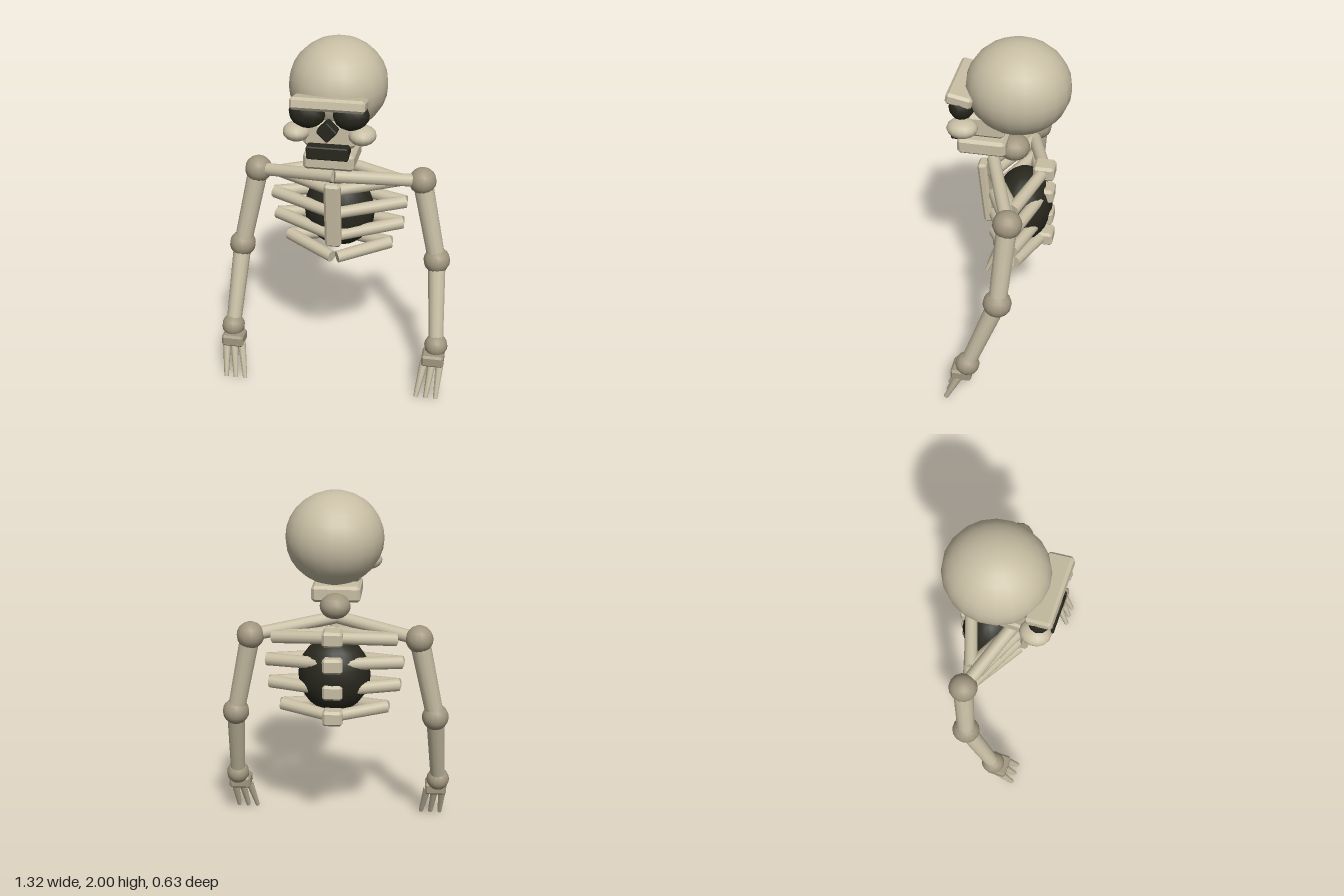
import * as THREE from 'three';
import { ConvexGeometry } from 'three/addons/geometries/ConvexGeometry.js';

const mat = (name, color) => {
  const m = new THREE.MeshStandardMaterial({ color });
  m.name = name;
  return m;
};

export function createModel() {
  const bone = mat('bone', 0xc8bea4);
  const joint = mat('joint bone', 0xa1967f);
  const dark = mat('dark hollow', 0x28281e);
  const root = new THREE.Group();
  root.name = 'skeletonBust';

  const add = (parent, name, geometry, material, p = [0, 0, 0]) => {
    const m = new THREE.Mesh(geometry, material);
    m.name = name;
    m.position.set(...p);
    parent.add(m);
    return m;
  };

  // Ellipsoid
  const ball = (parent, name, material, p, r, ws = 14, hs = 10) =>
    add(parent, name, new THREE.SphereGeometry(1, ws, hs).scale(...r), material, p);

  // Box with flat chamfered edges
  const block = (parent, name, material, p, size, c = 0.014) => {
    const pts = [];
    const [x, y, z] = size.map((s) => s / 2);
    for (const i of [-1, 1]) for (const j of [-1, 1]) for (const k of [-1, 1]) {
      pts.push(new THREE.Vector3(i * x, j * (y - c), k * (z - c)));
      pts.push(new THREE.Vector3(i * (x - c), j * y, k * (z - c)));
      pts.push(new THREE.Vector3(i * (x - c), j * (y - c), k * z));
    }
    return add(parent, name, new ConvexGeometry(pts), material, p);
  };

  // Tapered straight bone from a to b
  const rod = (parent, name, material, a, b, ra, rb, sides = 12) => {
    const A = new THREE.Vector3(...a), B = new THREE.Vector3(...b);
    const d = B.clone().sub(A);
    const m = add(parent, name, new THREE.CylinderGeometry(rb, ra, d.length(), sides), material);
    m.position.copy(A).add(B).multiplyScalar(0.5);
    m.quaternion.setFromUnitVectors(new THREE.Vector3(0, 1, 0), d.normalize());
    return m;
  };

  // Head
  const head = new THREE.Group();
  head.name = 'head';
  root.add(head);
  ball(head, 'cranium', bone, [0, 1.75, -0.038], [0.264, 0.25, 0.276], 20, 14);
  block(head, 'brow', bone, [0, 1.735, 0.238], [0.39, 0.066, 0.14]).rotation.x = -0.2;
  block(head, 'upperJaw', bone, [0, 1.56, 0.13], [0.28, 0.135, 0.23], 0.02);
  block(head, 'lowerJaw', bone, [0, 1.42, 0.14], [0.27, 0.09, 0.26], 0.016);
  block(head, 'mouth', dark, [0, 1.483, 0.255], [0.22, 0.07, 0.1], 0.006);
  block(head, 'noseHollow', dark, [0, 1.603, 0.275], [0.08, 0.08, 0.075], 0.006).rotation.z = Math.PI / 4;
  for (const s of [-1, 1]) {
    ball(head, 'eyeSocket', dark, [s * 0.115, 1.677, 0.235], [0.096, 0.078, 0.07], 12, 8).rotation.z = s * 0.1;
    ball(head, 'cheekbone', bone, [s * 0.172, 1.57, 0.225], [0.073, 0.05, 0.083]);
  }
  ball(root, 'neck', joint, [0, 1.365, -0.016], [0.085, 0.07, 0.085]);

  // Torso core
  ball(root, 'chestHollow', dark, [0, 0.995, -0.07], [0.2, 0.215, 0.16], 16, 12);
  block(root, 'sternum', bone, [0, 1.055, 0.142], [0.09, 0.39, 0.052]).rotation.x = 0.09;

  // Ribs and vertebrae
  const ribReach = [0.335, 0.37, 0.355, 0.29];
  ribReach.forEach((reach, i) => {
    const spineY = 1.237 - 0.15 * i;
    const sideY = 1.2 - 0.13 * i;
    block(root, 'vertebra', bone, [0, spineY, -0.183], [0.11, 0.085, 0.115]);
    for (const s of [-1, 1]) {
      const side = [s * reach, sideY, -0.07];
      rod(root, 'ribFront', bone, side, [s * 0.015, 1.185 - 0.137 * i, 0.095], 0.036, 0.033);
      rod(root, 'ribBack', bone, side, [0, spineY, -0.185], 0.036, 0.033);
    }
  });

  // Arms
  for (const s of [-1, 1]) {
    const arm = new THREE.Group();
    arm.name = s > 0 ? 'leftArm' : 'rightArm';
    root.add(arm);
    const shoulder = [s * 0.462, 1.205, -0.068];
    const elbow = [s * 0.562, 0.74, -0.032];
    const wrist = [s * 0.592, 0.283, 0.135];
    rod(arm, 'collarbone', bone, shoulder, [0, 1.27, 0.1], 0.036, 0.036);
    ball(arm, 'shoulder', joint, shoulder, [0.076, 0.076, 0.078]);
    rod(arm, 'upperArm', bone, shoulder, elbow, 0.056, 0.05);
    ball(arm, 'elbow', joint, elbow, [0.075, 0.075, 0.078]);
    rod(arm, 'forearm', bone, elbow, wrist, 0.051, 0.042);
    ball(arm, 'wrist', joint, wrist, [0.066, 0.066, 0.068]);
    block(arm, 'palm', joint, [s * 0.581, 0.22, 0.167], [0.125, 0.07, 0.115], 0.012);
    for (const f of [-1, 0, 1]) {
      rod(arm, 'finger', bone, [s * (0.579 + f * 0.044), 0.2, 0.18],
        [s * (0.556 + f * 0.056), 0.006, 0.263], 0.024, 0.013, 8);
    }
  }
  return root;
}
